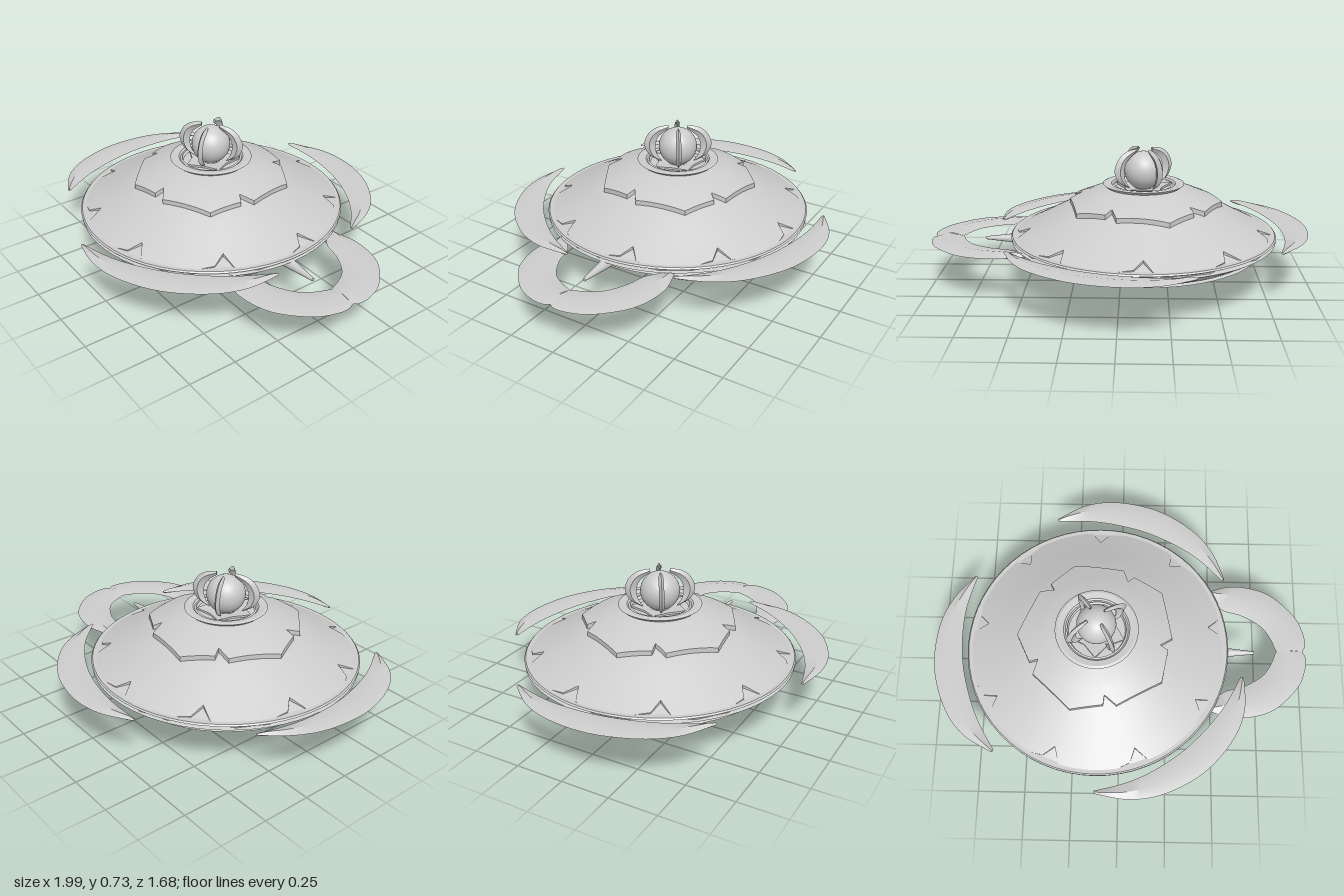
import * as THREE from 'three';
import { toCreasedNormals } from 'three/addons/utils/BufferGeometryUtils.js';

const CX = -0.12, CZ = 0.01; // axis of the saucer
const rad = THREE.MathUtils.degToRad;
const v2 = (x, y) => new THREE.Vector2(x, y);

// Skin a grid of rows of [x, y, z] points
function skin(rows, crease) {
  const n = rows[0].length, idx = [];
  const geo = new THREE.BufferGeometry();
  geo.setAttribute('position', new THREE.Float32BufferAttribute(rows.flat(2), 3));
  for (let i = 0; i < rows.length - 1; i++) {
    for (let j = 0; j < n - 1; j++) {
      const a = i * n + j, b = a + 1, c = a + n, d = c + 1;
      idx.push(a, b, c, b, d, c);
    }
  }
  geo.setIndex(idx);
  return toCreasedNormals(geo, crease);
}

// Height of the dome at a radius, by linear interpolation of its profile
const DOME = [[0.15, 0.515], [0.2, 0.503], [0.28, 0.478], [0.4, 0.428], [0.5, 0.375], [0.6, 0.322], [0.7, 0.273]];
function domeY(r) {
  const k = Math.max(1, DOME.findIndex(p => p[0] >= r));
  const [r0, y0] = DOME[k - 1], [r1, y1] = DOME[k];
  return y0 + (y1 - y0) * (r - r0) / (r1 - r0);
}

// Round shell whose edge repeats a notched outline [degrees, radius], n times
function petalShell(outline, n, start, rInner, height, lip) {
  const edge = [];
  for (let k = 0; k < n; k++) {
    for (const [a, r] of outline) {
      const t = rad(start + k * 360 / n + a);
      edge.push(v2(r * Math.cos(t), r * Math.sin(t)));
    }
  }
  const rim = [];
  edge.forEach((p, i) => {
    const q = edge[(i + 1) % edge.length], steps = Math.max(1, Math.round(p.distanceTo(q) / 0.04));
    for (let s = 0; s < steps; s++) rim.push(p.clone().lerp(q, s / steps));
  });
  rim.push(rim[0].clone());
  const rows = rim.map(p => {
    const R = p.length(), c = p.x / R, s = p.y / R, row = [];
    for (let j = 0; j <= 10; j++) {
      const r = rInner + (R - rInner) * j / 10;
      row.push([r * c, height(r), r * s]);
    }
    row.push([R * c, height(R) - lip, R * s]);
    return row.reverse();
  });
  return skin(rows, 0.6);
}

// Crescent blade lying flat, lens-shaped in section, between an outer and an inner curve
function crescent(outer, inner, thick, steps = 28) {
  const curve = pts => new THREE.SplineCurve(pts.map(p => v2(...p)));
  const A = curve(outer).getSpacedPoints(steps), B = curve(inner).getSpacedPoints(steps);
  const rows = A.map((a, i) => {
    const b = B[i], m = a.clone().lerp(b, 0.45);
    const h = Math.min(thick / 2, a.distanceTo(b) * 0.35);
    return [[a.x, 0, a.y], [m.x, h, m.y], [b.x, 0, b.y], [m.x, -h, m.y], [a.x, 0, a.y]];
  });
  return skin(rows, 0.5);
}

const polar = list => list.map(([a, r]) => [r * Math.cos(rad(a)), r * Math.sin(rad(a))]);

export function createModel() {
  const model = new THREE.Group();
  model.name = 'saucerShip';
  const grey = new THREE.MeshStandardMaterial({ color: 0xcccccc, side: THREE.DoubleSide });
  grey.name = 'pale grey';
  const saucer = new THREE.Group();
  saucer.name = 'saucer';
  saucer.position.set(CX, 0, CZ);
  model.add(saucer);

  const add = (parent, name, geo) => {
    const mesh = new THREE.Mesh(geo, grey);
    mesh.name = name;
    parent.add(mesh);
    return mesh;
  };
  const lathe = (name, pts, crease = 0.4) =>
    add(saucer, name, toCreasedNormals(new THREE.LatheGeometry(pts.map(p => v2(...p)), 64), crease));

  // Lower hull, rim and underside turret
  lathe('lowerHull', [[0, 0.085], [0.15, 0.09], [0.35, 0.108], [0.43, 0.13], [0.52, 0.16], [0.61, 0.193],
    [0.59, 0.2], [0.64, 0.228], [0.695, 0.26], [0.66, 0.27], [0.5, 0.27]]);
  lathe('rim', [[0.64, 0.268], [0.68, 0.272], [0.697, 0.28], [0.69, 0.288], [0.65, 0.288]]);
  lathe('turret', [[0, 0.01], [0.055, 0.01], [0.075, 0], [0.08, 0.012], [0.115, 0.03], [0.145, 0.062], [0.15, 0.09]]);
  lathe('innerDome', [[0.69, 0.278], [0.6, 0.308], [0.5, 0.358], [0.4, 0.41], [0.28, 0.46], [0.15, 0.5]]);

  // Overlapping petal plates of the dome
  add(saucer, 'outerPetals', petalShell(
    [[-18, 0.655], [-9, 0.68], [4, 0.682], [14, 0.668], [18, 0.595]], 9, 212, 0.17, domeY, 0.02));
  add(saucer, 'innerPetals', petalShell(
    [[-24, 0.375], [0, 0.415], [38, 0.388], [46, 0.33]], 5, 180, 0.15, r => domeY(r) + 0.024, 0.03));

  // Collar bowl, small crown and orb on top
  lathe('collar', [[0.15, 0.51], [0.175, 0.515], [0.213, 0.545], [0.2, 0.55], [0.168, 0.545], [0.145, 0.522], [0, 0.52]]);
  add(saucer, 'crown', petalShell([[-36, 0.1], [0, 0.15]], 5, 20, 0.05, r => 0.525 + 0.13 * (r - 0.05), 0.01));
  const orb = add(saucer, 'orb', new THREE.SphereGeometry(0.1, 40, 28));
  orb.position.y = 0.615;

  // Four upright talons around the orb
  for (let k = 0; k < 4; k++) {
    const geo = crescent(
      [[0.09, 0.53], [0.15, 0.565], [0.177, 0.625], [0.155, 0.685], [0.11, 0.72], [0.05, 0.732]],
      [[0.085, 0.53], [0.11, 0.57], [0.118, 0.62], [0.107, 0.66], [0.085, 0.685], [0.048, 0.712]], 0.026);
    geo.rotateX(-Math.PI / 2);
    add(saucer, 'talon', geo).rotation.y = -rad(57 + 90 * k);
  }

  // Three crescent blades around the rim
  const bladeOuter = polar([[0, 0.792], [12, 0.847], [24, 0.87], [39, 0.875], [54, 0.862], [66, 0.835], [78, 0.79]]);
  const bladeInner = polar([[0, 0.775], [12, 0.745], [24, 0.727], [39, 0.722], [54, 0.732], [66, 0.75], [78, 0.775]]);
  for (const start of [12, 132, 252]) {
    const blade = add(saucer, 'rimBlade', crescent(bladeOuter, bladeInner, 0.026));
    blade.position.y = 0.292;
    blade.rotation.y = -rad(start);
  }

  // Mirrored pair of pincers on the side
  for (const s of [-1, 1]) {
    const outer = [[0.47, 0.34], [0.62, 0.375], [0.8, 0.335], [0.94, 0.21], [0.99, 0.1], [0.995, 0.03], [0.98, 0]];
    const inner = [[0.46, 0.32], [0.55, 0.235], [0.66, 0.2], [0.76, 0.14], [0.81, 0.07], [0.83, 0.02], [0.84, 0]];
    const flip = pts => pts.map(([x, z]) => [x, s * z]);
    const [a, b] = s < 0 ? [outer, inner] : [inner, outer];
    add(model, 'pincer', crescent(flip(a), flip(b), 0.036)).position.set(0, 0.247, CZ);
  }

  // Spike between the pincers
  const spike = add(model, 'spike', new THREE.CylinderGeometry(0.008, 0.03, 0.2, 16));
  spike.rotation.z = -Math.PI / 2;
  spike.position.set(0.62, 0.235, 0.017);

  // Gun barrel under the turret
  const gun = add(model, 'gunBarrel', new THREE.CylinderGeometry(0.014, 0.009, 0.16, 12));
  gun.rotation.z = -Math.PI / 2 - 0.1;
  gun.position.set(0.06, 0.028, 0.02);
  const mount = add(model, 'gunMount', new THREE.SphereGeometry(0.022, 16, 12));
  mount.position.set(-0.02, 0.035, 0.02);

  return model;
}
